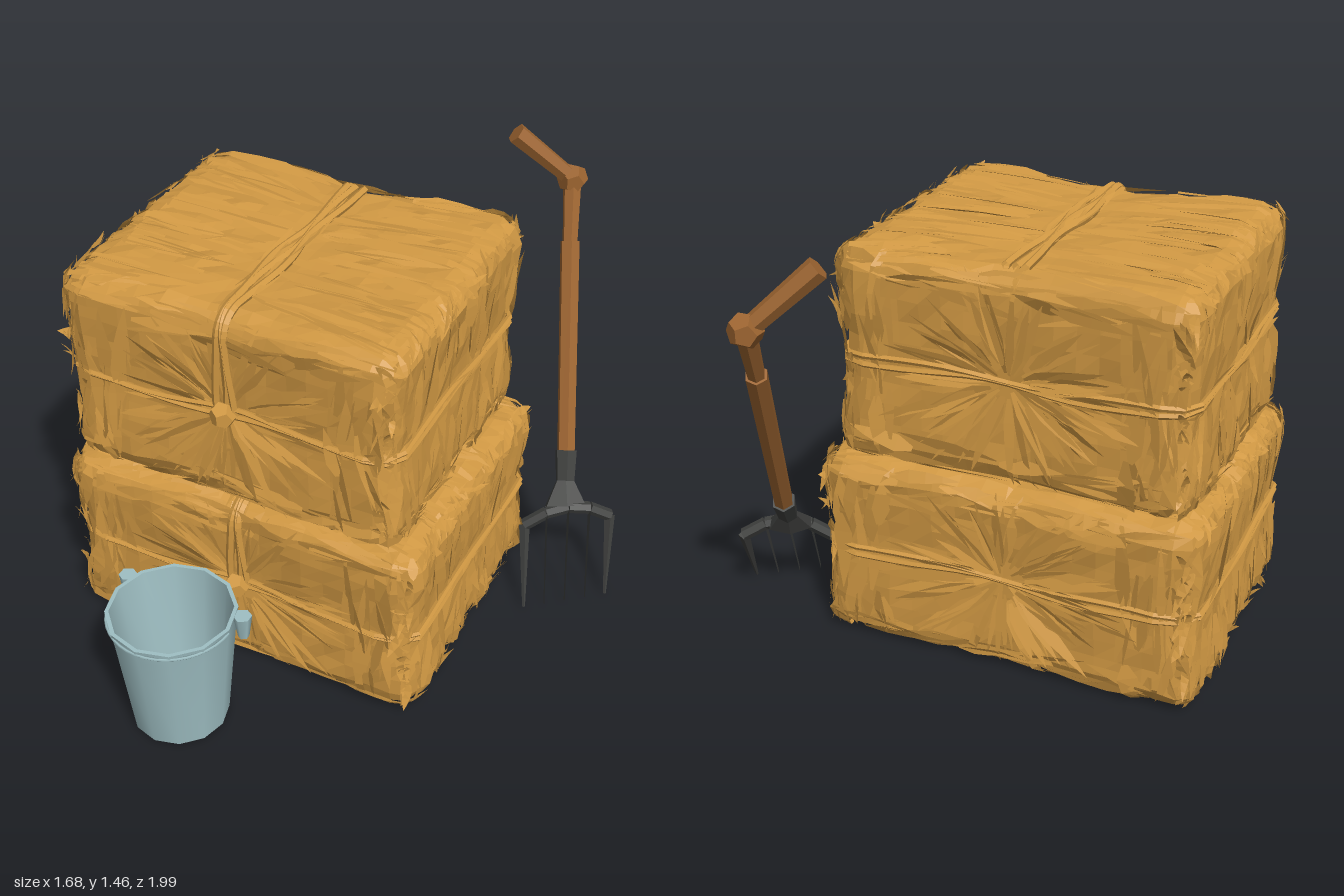
import * as THREE from 'three';
import { toCreasedNormals } from 'three/addons/utils/BufferGeometryUtils.js';

const V = (x, y, z) => new THREE.Vector3(x, y, z);
let seed = 7;
const rnd = (a = 0, b = 1) => {
  seed = (seed * 16807) % 2147483647;
  return a + (b - a) * (seed / 2147483647);
};

const hay = new THREE.MeshStandardMaterial({ color: 0xd09843, side: THREE.DoubleSide, flatShading: true });
const wood = new THREE.MeshStandardMaterial({ color: 0x9c6430, flatShading: true });
const iron = new THREE.MeshStandardMaterial({ color: 0x3e3f3d, flatShading: true });
const tin = new THREE.MeshStandardMaterial({ color: 0x9fbfc3 });
hay.name = 'hay'; wood.name = 'wood'; iron.name = 'iron'; tin.name = 'tin';

function add(group, name, geometry, material) {
  const mesh = new THREE.Mesh(geometry, material);
  mesh.name = name;
  group.add(mesh);
  return mesh;
}

// Rounded block, drawn in where the twine runs; returns surface point and normal
function makeSurface(h, r) {
  return (p, lift) => {
    const core = V(
      THREE.MathUtils.clamp(p.x, r - h.x, h.x - r),
      THREE.MathUtils.clamp(p.y, r - h.y, h.y - r),
      THREE.MathUtils.clamp(p.z, r - h.z, h.z - r));
    const n = p.clone().sub(core).normalize();
    const pos = core.addScaledVector(n, r + lift);
    const waist = Math.exp(-((p.x / 0.2) ** 2)), belt = Math.exp(-((p.y / 0.12) ** 2));
    pos.z *= 1 - 0.035 * waist - 0.015 * belt;
    pos.x *= 1 - 0.02 * belt;
    if (pos.y > 0) pos.y *= 1 - 0.035 * waist;
    pos.y = Math.max(pos.y, -h.y);
    return { pos, n };
  };
}

// One tapering blade of straw laid on the surface
function blade(out, surface, p, dir, len, width, lift, flare) {
  const roll = rnd(-0.5, 0.5);
  let last = null;
  [0.3, 1, 0.85, 0.5, 0.03].forEach((w, i) => {
    const s = i / 4;
    const { pos, n } = surface(p.clone().addScaledVector(dir, len * s), lift + flare * s * s);
    const side = n.clone().cross(dir).normalize().multiplyScalar(Math.cos(roll))
      .addScaledVector(n, Math.sin(roll)).multiplyScalar(width * w * 0.5);
    const row = [pos.clone().sub(side), pos.clone().add(side)];
    if (last) {
      for (const v of [last[0], last[1], row[1], last[0], row[1], row[0]]) out.push(v.x, v.y, v.z);
    }
    last = row;
  });
}

function makeBale(name, h) {
  const g = new THREE.Group();
  g.name = name;
  const surface = makeSurface(h, 0.07);

  // Lumpy body
  const body = new THREE.BoxGeometry(h.x * 2, h.y * 2, h.z * 2, 16, 10, 14);
  const pos = body.attributes.position;
  for (let i = 0; i < pos.count; i++) {
    const p = V().fromBufferAttribute(pos, i);
    const hash = Math.sin(p.x * 91.7 + p.y * 57.3 + p.z * 73.9) * 43.7;
    const q = surface(p, p.y < -h.y + 0.01 ? 0 : (hash - Math.floor(hash)) * 0.014 - 0.009).pos;
    pos.setXYZ(i, q.x, q.y, q.z);
  }
  body.computeVertexNormals();
  add(g, 'baleBody', body, hay);

  const out = [];
  const lay = (p, d, len, w, flare = 0) =>
    blade(out, surface, p, d.normalize(), len, w, rnd(0.001, 0.013), flare);

  for (const s of [-1, 1]) {
    // Ends: broad upright straw, gathered at the belt
    for (let i = 0; i < 85; i++) {
      const up = rnd() < 0.5 ? 1 : -1;
      const p = V(s * h.x, up * rnd(-0.05, 0.6) * h.y, rnd(-0.95, 0.95) * h.z);
      lay(p, V(0, up, rnd(-0.3, 0.3)), rnd(0.12, 0.28), rnd(0.02, 0.06), rnd() < 0.2 ? 0.02 : 0);
    }
    // Broad faces: straw radiating from the centre
    for (let i = 0; i < 85; i++) {
      const a = rnd(0, Math.PI * 2), r = rnd(0.03, 0.14);
      const d = V(Math.cos(a), Math.sin(a) * 0.7, 0);
      lay(V(d.x * r, d.y * r, s * h.z), d, rnd(0.18, 0.34), rnd(0.02, 0.055), 0.006);
    }
    // Broad faces: border of straw running along the edges
    for (let i = 0; i < 90; i++) {
      const e = rnd() < 0.5 ? 1 : -1, f = rnd() < 0.5 ? 1 : -1;
      if (i % 2) lay(V(e * rnd(0.66, 0.98) * h.x, rnd(-0.7, 0.5) * h.y, s * h.z),
        V(rnd(-0.3, 0.3), f, 0), rnd(0.15, 0.36), rnd(0.025, 0.07));
      else lay(V(rnd(-0.85, 0.85) * h.x, e * rnd(0.72, 0.98) * h.y, s * h.z),
        V(f, rnd(-0.25, 0.25), 0), rnd(0.15, 0.38), rnd(0.02, 0.055));
    }
    // Top: long straw fanning away from the twine
    for (let i = 0; i < 65; i++) {
      const p = V(s * rnd(0.02, 0.7) * h.x, h.y, rnd(-0.95, 0.95) * h.z);
      lay(p, V(s, 0, p.z * 0.4 + rnd(-0.15, 0.15)), rnd(0.2, 0.45), rnd(0.02, 0.06));
    }
    // Loose tufts along the upright and level corners
    for (let i = 0; i < 44; i++) {
      const e = i % 2 ? 1 : -1;
      lay(V(s * h.x * 0.97, rnd(-0.8, 0.95) * h.y, e * h.z * 0.95),
        V(rnd(-0.2, 0.3) * s, rnd(-0.9, 0.9), e * 0.5), rnd(0.08, 0.2), rnd(0.015, 0.045), rnd(0, 0.045));
      lay(V(s * h.x * 0.94, e * h.y * 0.96, rnd(-0.95, 0.95) * h.z),
        V(s * 0.5, rnd(-0.3, 0.3), rnd(-1, 1)), rnd(0.08, 0.2), rnd(0.015, 0.045), rnd(0, 0.025));
    }
  }
  // Straw caught in the belt and in the band over the top
  for (let i = 0; i < 26; i++) {
    const s = i % 2 ? 1 : -1, f = rnd() < 0.5 ? 1 : -1;
    lay(V(s * h.x, rnd(-0.02, 0.02), rnd(-0.8, 0.8) * h.z), V(0, rnd(-0.1, 0.1), f), 0.22, 0.03, 0.012);
    lay(V(rnd(-0.03, 0.03), h.y, rnd(-0.8, 0.8) * h.z), V(rnd(-0.08, 0.08), 0, f), 0.25, 0.035, 0.012);
  }
  const straw = new THREE.BufferGeometry();
  straw.setAttribute('position', new THREE.Float32BufferAttribute(out, 3));
  straw.computeVertexNormals();
  add(g, 'straw', straw, hay);

  // Strands of twisted straw: a band from the front knot over the top, and a belt all round
  const strand = (upright, offset, radius) => {
    const pts = [], count = 60;
    for (let i = 0; i < count; i++) {
      const a = upright ? i / (count - 1) * 2.45 : i / count * Math.PI * 2;
      const d = upright ? V(0, Math.sin(a), Math.cos(a)) : V(Math.sin(a), 0, Math.cos(a));
      d.multiplyScalar(1 / Math.max(Math.abs(d.x) / h.x, Math.abs(d.y) / h.y, Math.abs(d.z) / h.z));
      d[upright ? 'x' : 'y'] = offset + 0.011 * Math.sin(a * 5 + offset * 90);
      pts.push(surface(d, 0.009).pos);
    }
    const curve = new THREE.CatmullRomCurve3(pts, !upright);
    add(g, 'twine', new THREE.TubeGeometry(curve, 60, radius, 5, !upright), hay);
  };
  for (const o of [-0.02, 0.002, 0.022]) strand(true, o, 0.014);
  for (const o of [-0.006, 0.01]) strand(false, o, 0.01);
  add(g, 'knot', new THREE.DodecahedronGeometry(0.045), hay).position.z = h.z;
  return g;
}

// Tapered bar between two points, with its thickness scaled along and through the fork plane
const across = V(0.26, 0.02, -0.16).normalize();
function bar(group, name, a, b, r0, r1, material, sides = 6, wide = 1, deep = 1) {
  const dir = b.clone().sub(a);
  const mesh = add(group, name, new THREE.CylinderGeometry(r1, r0, dir.length(), sides), material);
  const y = dir.normalize();
  const z = (Math.abs(y.dot(across)) > 0.8 ? V(0.3, 0.6, 0.7) : across).clone().cross(y).normalize();
  mesh.quaternion.setFromRotationMatrix(new THREE.Matrix4().makeBasis(y.clone().cross(z), y, z));
  mesh.position.copy(a).add(b).multiplyScalar(0.5);
  mesh.scale.set(wide, 1, deep);
}

function makeFork() {
  const g = new THREE.Group();
  g.name = 'pitchfork';
  const top = V(0.385, 1.265, -0.945), mid = V(0.43, 1.08, -0.845), foot = V(0.60, 0.44, -0.5);
  bar(g, 'upperShaft', mid, top, 0.027, 0.033, wood);
  bar(g, 'lowerShaft', foot, mid, 0.032, 0.035, wood);
  bar(g, 'grip', top, V(0.205, 1.44, -0.845), 0.03, 0.037, wood);
  add(g, 'gripJoint', new THREE.DodecahedronGeometry(0.054), wood).position.copy(top);
  const hub = V(0.648, 0.3, -0.4), throat = V(0.622, 0.37, -0.45);
  bar(g, 'socket', throat, V(0.596, 0.455, -0.508), 0.034, 0.04, iron);
  bar(g, 'neck', hub, throat, 0.08, 0.034, iron, 6, 1, 0.5);

  // Arched head, stout outer tines and thin blade-like inner ones
  const roots = [], n = 5;
  for (let i = 0; i < n; i++) {
    const t = i / (n - 1), outer = i === 0 || i === n - 1;
    const root = V(0.532, 0.235, -0.315).lerp(V(0.79, 0.26, -0.47), t);
    root.y += 0.06 * (1 - (2 * t - 1) ** 2);
    const tip = V(0.61, 0.012, -0.15).lerp(V(0.842, 0.015, -0.34), t);
    bar(g, 'tine', root, tip, outer ? 0.019 : 0.022, outer ? 0.005 : 0.01, iron, 4, outer ? 1 : 0.16);
    roots.push(root);
    if (i) bar(g, 'head', roots[i - 1], root, 0.022, 0.022, iron);
  }
  return g;
}

function makeBucket() {
  const g = new THREE.Group();
  g.name = 'bucket';
  const profile = [[0, 0.025], [0.14, 0.025], [0.145, 0.01], [0.158, 0.01], [0.199, 0.40], [0.207, 0.452],
    [0.194, 0.452], [0.15, 0.04], [0, 0.04]].map(([x, y]) => new THREE.Vector2(x, y));
  add(g, 'pail', toCreasedNormals(new THREE.LatheGeometry(profile, 12), 0.6), tin);
  for (const s of [-1, 1]) {
    const ear = add(g, 'ear', new THREE.CylinderGeometry(0.03, 0.018, 0.085, 6), tin);
    ear.position.set(s * 0.21, 0.406, -0.075);
  }
  // Carrying wire resting round the front, just under the rim
  const wire = add(g, 'wireHandle', new THREE.TorusGeometry(0.203, 0.005, 5, 20, Math.PI), tin);
  wire.rotation.x = Math.PI / 2;
  wire.position.y = 0.436;
  g.position.set(-0.217, 0, 0.789);
  return g;
}

export function createModel() {
  const model = new THREE.Group();
  model.name = 'hayBalesWithTools';
  const lower = makeBale('lowerBale', V(0.63, 0.318, 0.49));
  lower.position.set(-0.163, 0.328, 0);
  const upper = makeBale('upperBale', V(0.57, 0.348, 0.478));
  upper.position.set(-0.182, 1.005, 0);
  model.add(lower, upper, makeFork(), makeBucket());
  return model;
}
